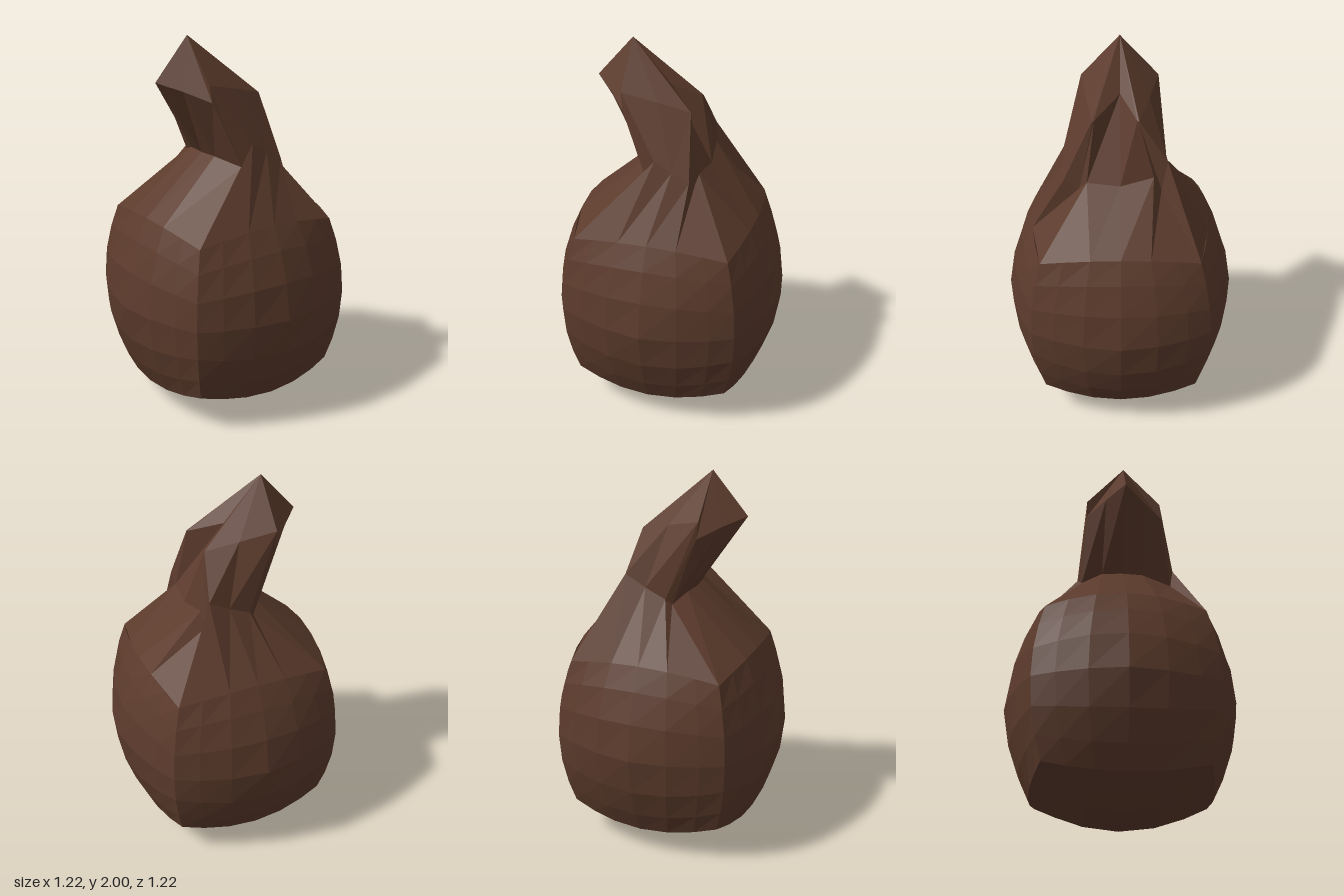
import * as THREE from 'three';

const R = 0.612;

// Puffs a point on a 2-unit cube out to a rounded-cube ball standing on y = 0
function puff(x, y, z) {
  const p = new THREE.Vector3(x, y, z);
  const d = p.length();
  p.setLength(R * (1 + Math.max(0, 0.24 * (d - 1) - 0.013)));
  p.y += R;
  return p;
}

// Ball: subdivided cube with its top face left out
function bodyGeometry() {
  const box = new THREE.BoxGeometry(2, 2, 2, 6, 6, 6);
  const pos = box.attributes.position;
  for (let i = 0; i < pos.count; i++) {
    const p = puff(pos.getX(i), pos.getY(i), pos.getZ(i));
    pos.setXYZ(i, p.x, p.y, p.z);
  }
  const top = box.groups[2];
  const index = Array.from(box.index.array);
  index.splice(top.start, top.count);
  box.setIndex(index);
  box.clearGroups();
  const geo = box.toNonIndexed();
  geo.computeVertexNormals();
  return geo;
}

// Faceted skin between consecutive closed rings, closed by a tip
function loft(rings, tip) {
  const out = [];
  const tri = (...pts) => pts.forEach((p) => out.push(...p));
  rings.forEach((a, r) => {
    const b = rings[r + 1];
    a.forEach((p, i) => {
      const j = (i + 1) % a.length;
      if (!b) return tri(p, a[j], tip);
      tri(p, a[j], b[j]);
      tri(p, b[j], b[i]);
    });
  });
  const geo = new THREE.BufferGeometry();
  geo.setAttribute('position', new THREE.Float32BufferAttribute(out, 3));
  geo.computeVertexNormals();
  return geo;
}

export function createModel() {
  const brown = new THREE.MeshStandardMaterial({ color: 0x5c3b2c, flatShading: true, side: THREE.DoubleSide });
  const model = new THREE.Group();
  const add = (name, geo) => {
    const mesh = new THREE.Mesh(geo, brown);
    mesh.name = name;
    model.add(mesh);
  };

  add('body', bodyGeometry());

  // Open rim of the body: four sides of corner, third, middle, third
  const rim = [];
  for (let s = 0; s < 4; s++) {
    for (const t of [-1, -1 / 3, 0, 1 / 3]) {
      const [x, z] = [[t, 1], [1, -t], [-t, -1], [-1, t]][s];
      rim.push(puff(x, 1, z).toArray());
    }
  }
  // Pinched neck, starting at the front left of the ring and running along the front
  const neck = [
    [-0.06, 1.35, 0.27], [-0.01, 1.47, 0.29], [0.08, 1.42, 0.29], [0.17, 1.37, 0.29],
    [0.18, 1.33, 0.21], [0.19, 1.37, 0.17], [0.21, 1.36, 0], [0.19, 1.4, -0.17],
    [0.18, 1.32, -0.21], [0.17, 1.48, -0.24], [0.06, 1.42, -0.24], [-0.05, 1.37, -0.24],
    [-0.08, 1.34, -0.22], [-0.12, 1.38, -0.11], [-0.13, 1.38, 0], [-0.12, 1.38, 0.11],
  ];
  // Leaning head of the stem with a groove down its right-hand side
  const head = [
    [-0.2, 1.69, 0.21], [-0.21, 1.78, 0.2], [-0.03, 1.735, 0.17], [0.135, 1.69, 0.14],
    [0.134, 1.69, 0.135], [0.13, 1.692, 0.13], [-0.01, 1.77, 0], [0.13, 1.692, -0.085],
    [0.134, 1.69, -0.09], [0.135, 1.69, -0.095], [-0.03, 1.735, -0.15], [-0.21, 1.78, -0.2],
    [-0.2, 1.69, -0.2], [-0.3, 1.74, -0.1], [-0.4, 1.78, 0], [-0.3, 1.74, 0.1],
  ];
  add('stem', loft([rim, neck, head], [-0.21, 2, 0]));
  return model;
}
